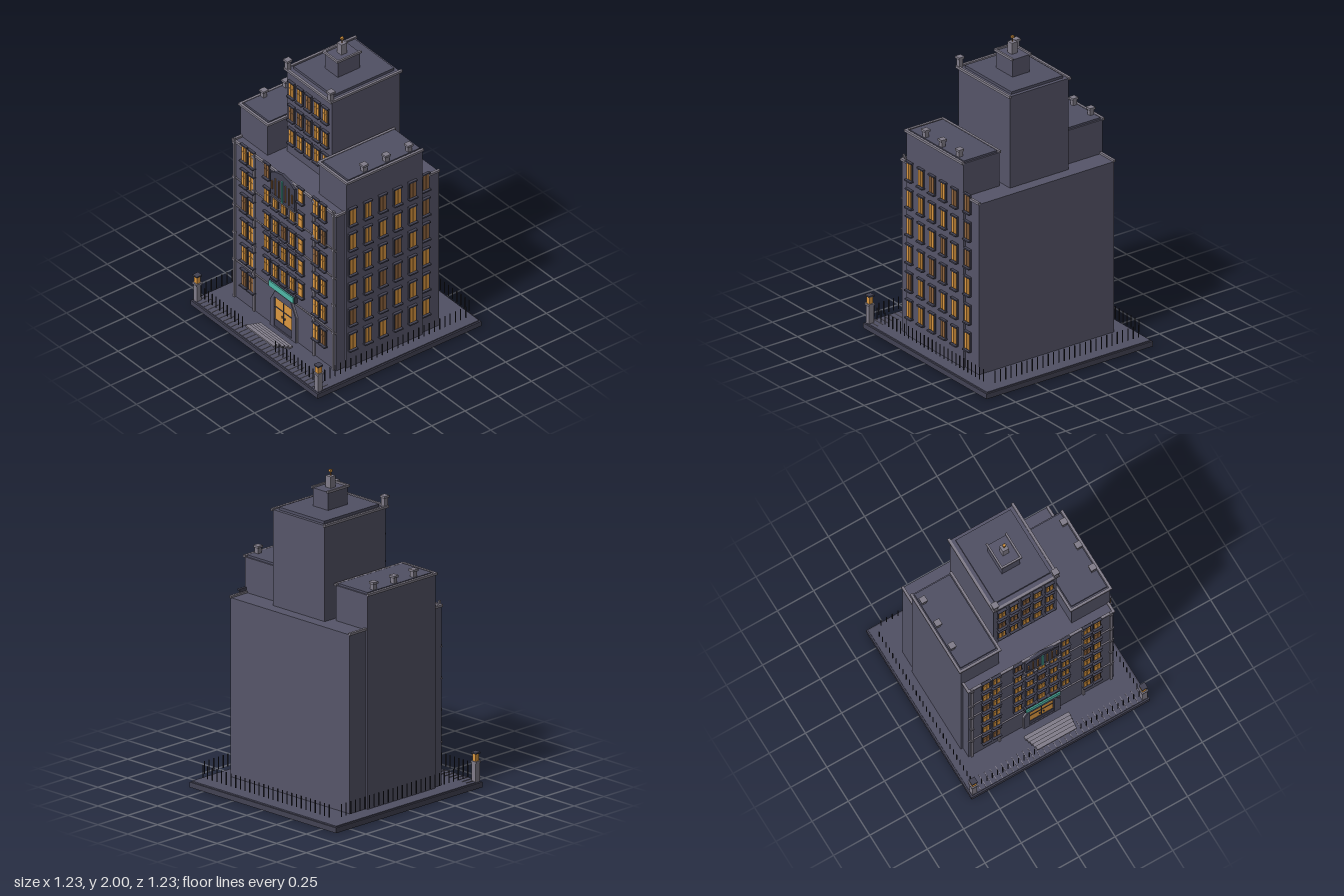
import * as THREE from 'three';
import { mergeGeometries } from 'three/addons/utils/BufferGeometryUtils.js';

const mat = (name, color) => Object.assign(new THREE.MeshStandardMaterial({ color }), { name });

// box from centre x, bottom y, centre z and size
function box(x, y, z, w, h, d) {
  return new THREE.BoxGeometry(w, h, d).translate(x, y + h / 2, z);
}

// box from its limits
function span(x0, x1, y0, y1, z0, z1) {
  return new THREE.BoxGeometry(x1 - x0, y1 - y0, z1 - z0)
    .translate((x0 + x1) / 2, (y0 + y1) / 2, (z0 + z1) / 2);
}

// flat outline in x and y, pushed out along z
function plate(points, z, depth, hole) {
  const shape = new THREE.Shape(points.map(p => new THREE.Vector2(...p)));
  if (hole) shape.holes.push(new THREE.Path(hole.map(p => new THREE.Vector2(...p))));
  return new THREE.ExtrudeGeometry(shape, { depth, bevelEnabled: false }).translate(0, 0, z);
}

export function createModel() {
  const model = new THREE.Group();
  const wall = mat('slate wall', 0x565569);
  const roof = mat('roof slate', 0x505064);
  const dark = mat('dark frame', 0x424253);
  const trim = mat('stone trim', 0x817d8a);
  const amber = mat('lit glass', 0xdc9840);
  const dim = mat('dim glass', 0x946840);
  const teal = mat('teal sign', 0x50b8a8);
  const iron = mat('iron', 0x2a2a35);

  const add = (name, material, geos) => {
    const mesh = new THREE.Mesh(mergeGeometries(geos.map(g => g.index ? g.toNonIndexed() : g)), material);
    mesh.name = name;
    model.add(mesh);
  };

  // ground slab
  add('baseSlab', dark, [span(-0.615, 0.615, 0, 0.033, -0.615, 0.615)]);
  add('pavement', roof, [span(-0.605, 0.605, 0.033, 0.04, -0.605, 0.605)]);

  // building volumes
  add('mainBlock', wall, [span(-0.5, 0.5, 0.04, 1.16, -0.385, 0.385)]);
  add('sideWings', wall, [-1, 1].map(s => box(s * 0.3825, 0.04, 0.035, 0.265, 1.34, 0.57)));
  add('tower', wall, [span(-0.217, 0.217, 1.1, 1.76, -0.312, 0.2)]);
  add('penthouse', wall, [span(-0.063, 0.063, 1.76, 1.89, -0.13, 0.035)]);

  // raised roof panels
  add('roofPanels', roof, [
    span(-0.19, 0.19, 1.76, 1.777, -0.29, 0.172),
    ...[-1, 1].map(s => box(s * 0.3825, 1.38, 0.03, 0.245, 0.013, 0.54)),
  ]);

  // cornices run along the front and both sides, open at the back
  const cornice = (x0, x1, y, zBack, zFront, t = 0.016) => [
    span(x0 - 0.012, x0 - 0.012 + t, y, y + 0.015, zBack - 0.008, zFront + 0.012),
    span(x1 + 0.012 - t, x1 + 0.012, y, y + 0.015, zBack - 0.008, zFront + 0.012),
    span(x0 - 0.012, x1 + 0.012, y, y + 0.015, zFront + 0.012 - t, zFront + 0.012),
  ];
  add('cornices', trim, [
    ...cornice(-0.496, 0.496, 1.157, -0.38, 0.38),
    ...cornice(-0.515, -0.25, 1.376, -0.245, 0.315),
    ...cornice(0.25, 0.515, 1.376, -0.245, 0.315),
    ...cornice(-0.217, 0.217, 1.753, -0.315, 0.205),
    ...cornice(-0.06, 0.06, 1.886, -0.13, 0.033, 0.012),
  ]);

  // roof chimneys with caps
  const chimneys = [];
  const chimney = (x, y, z, h) => chimneys.push(
    box(x, y, z, 0.028, h - 0.014, 0.028), box(x, y + h - 0.014, z, 0.04, 0.014, 0.04));
  for (const s of [-1, 1]) {
    chimney(s * 0.208, 1.76, 0.2, 0.07);
    for (const z of [-0.17, 0, 0.166]) chimney(s * 0.485, 1.38, z, 0.062);
  }
  add('chimneys', trim, chimneys);

  // spire
  add('spireBlock', trim, [box(0, 1.89, -0.045, 0.042, 0.072, 0.042)]);
  add('spirePole', dim, [new THREE.CylinderGeometry(0.004, 0.004, 0.03, 8).translate(0, 1.975, -0.045)]);
  add('spireTip', amber, [box(0, 1.986, -0.045, 0.016, 0.014, 0.016)]);

  // windows, built facing +z and then turned and moved into place
  const frames = [], litPanes = [], dimPanes = [];
  function addWindow(place, h, transom, isDim) {
    const w = 0.044;
    const put = (list, g) => list.push(place(g));
    put(frames, box(0, -h / 2 - 0.006, 0.004, w + 0.012, h + 0.012, 0.008));
    put(frames, box(0, -h / 2 - 0.014, 0.0125, w + 0.018, 0.009, 0.025));
    put(frames, box(0, h / 2 + 0.004, 0.009, w + 0.018, 0.009, 0.018));
    const rows = transom ? [[-h / 2, h * 0.6], [h * 0.14, h * 0.36]] : [[-h / 2, h]];
    for (const s of [-1, 1])
      for (const [y, ph] of rows)
        put(isDim ? dimPanes : litPanes, box(s * w * 0.26, y, 0.0105, w * 0.42, ph, 0.005));
  }
  const front = (x, y, z) => g => g.translate(x, y, z);
  const side = (x, y, z) => g => g.rotateY(Math.PI / 2).translate(x, y, z);
  const floors = [1.13, 0.95, 0.77, 0.588, 0.405, 0.225];

  // tower and centre bays: 1 lit, 0 dim
  const bays = [-0.164, -0.082, 0, 0.082, 0.164];
  const centreRows = [
    [1.635, 0.2, '11011'], [1.463, 0.2, '00011'], [1.297, 0.2, '11111'],
    [1.13, 0.385, '0---1'], [0.95, 0.385, '11111'], [0.77, 0.385, '11011'],
    [0.615, 0.385, '11111'], [0.447, 0.385, '11111'],
  ];
  for (const [y, z, code] of centreRows)
    bays.forEach((x, i) => {
      if (code[i] !== '-') addWindow(front(x, y, z), 0.09, true, code[i] === '0');
    });

  // outer bays of the front
  const outerCodes = ['1111', '1110', '0101', '1111', '1111', '0010'];
  floors.forEach((y, r) => [-0.383, -0.312, 0.312, 0.383].forEach((x, i) =>
    addWindow(front(x, y, 0.385), 0.1, true, outerCodes[r][i] === '0')));

  // left side; the last column sits on the recessed main block
  const sideCodes = ['110100', '111110', '111010', '110011', '010111', '111011'];
  floors.forEach((y, r) => [0.28, 0.165, 0.053, -0.058, -0.17, -0.28].forEach((z, i) =>
    addWindow(side(i === 5 ? 0.5 : 0.515, y, z), 0.102, false, sideCodes[r][i] === '0')));
  add('windowFrames', dark, frames);
  add('litWindowPanes', amber, litPanes);
  add('dimWindowPanes', dim, dimPanes);

  // front pilasters and bands
  const pilasters = [];
  for (const x of [-0.48, -0.29, 0.29, 0.49 - 0.01]) {
    pilasters.push(box(x, 0.04, 0.39, 0.014, 1.15, 0.014));
    for (const y of [0.3, 0.5, 0.7, 0.9, 1.15]) pilasters.push(box(x, y, 0.391, 0.022, 0.018, 0.018));
  }
  add('pilasters', trim, pilasters);
  add('facadeBands', trim, [0.306, 0.703, 0.903].map(y => box(0, y, 0.388, 1.004, 0.007, 0.01)));

  // upper banner panel with pediment
  add('bannerPanel', dark, [
    span(-0.115, 0.115, 0.985, 1.15, 0.385, 0.402),
    plate([[-0.115, 1.15], [0.115, 1.15], [0.075, 1.175], [0, 1.193], [-0.075, 1.175]], 0.385, 0.02),
  ]);
  add('bannerSill', trim, [box(0, 0.98, 0.395, 0.245, 0.007, 0.024)]);
  add('bannerStripes', dim, [-0.097, -0.065, -0.032, 0.032, 0.065, 0.097].map(
    (x, i) => box(x, i % 5 ? 1.01 : 1.04, 0.405, 0.008, i % 5 ? 0.12 : 0.06, 0.008)));
  add('bannerCentre', teal, [box(0, 0.99, 0.406, 0.012, 0.155, 0.009)]);

  // entrance portal, door and sign
  add('portal', wall, [plate(
    [[-0.125, 0.04], [-0.125, 0.22], [-0.075, 0.31], [0.075, 0.31], [0.125, 0.22], [0.125, 0.04]], 0.385, 0.016,
    [[-0.085, 0.05], [0.085, 0.05], [0.085, 0.262], [-0.085, 0.262]])]);
  add('portalEdge', trim, [plate(
    [[-0.129, 0.04], [-0.129, 0.221], [-0.078, 0.314], [0.078, 0.314], [0.129, 0.221], [0.129, 0.04]], 0.384, 0.012,
    [[-0.125, 0.045], [0.125, 0.045], [0.125, 0.22], [0.075, 0.31], [-0.075, 0.31], [-0.125, 0.22]])]);
  add('door', amber, [span(-0.08, 0.08, 0.1, 0.26, 0.385, 0.392)]);
  add('doorBars', dark, [
    box(0, 0.1, 0.392, 0.005, 0.16, 0.006), box(0, 0.187, 0.392, 0.16, 0.006, 0.006),
    ...[-1, 1].map(s => box(s * 0.014, 0.14, 0.394, 0.006, 0.014, 0.008)),
    span(-0.085, 0.085, 0.04, 0.1, 0.385, 0.395),
  ]);
  add('signBacking', dark, [span(-0.123, 0.123, 0.323, 0.373, 0.385, 0.407)]);
  add('signFace', teal, [span(-0.118, 0.118, 0.328, 0.368, 0.407, 0.415)]);

  // entrance steps, climbing away from the door
  add('steps', trim, [0, 1, 2, 3, 4].map(i =>
    box(0, 0.044 + i * 0.011, 0.459 + i * 0.0255, 0.31 - i * 0.01, 0.011, 0.026)));

  // corner lamp posts
  const corners = [-0.587, 0.587];
  add('lampPosts', trim, corners.flatMap(x => [
    box(x, 0.04, 0.587, 0.034, 0.12, 0.034), box(x, 0.155, 0.587, 0.044, 0.012, 0.044)]));
  add('lanterns', amber, corners.map(x => box(x, 0.167, 0.587, 0.028, 0.046, 0.028)));
  add('lanternCaps', dark, corners.map(x => box(x, 0.213, 0.587, 0.04, 0.009, 0.04)));

  // fence pickets on all four sides, with a gap at the steps
  const pickets = [];
  const picket = (x, z) => pickets.push(box(x, 0.073, z, 0.005, 0.08, 0.005));
  for (let i = 0; i < 28; i++) {
    const z = -0.53 + i * 0.0393;
    picket(-0.575, z);
    picket(0.575, z);
    picket(-0.53 + i * 0.0393, -0.587);
  }
  for (let i = 0; i < 12; i++) for (const s of [-1, 1]) picket(s * (0.16 + i * 0.0365), 0.58);
  add('fencePickets', iron, pickets);

  // pale paving strips along the front edge
  add('pavingStrips', trim, Array.from({ length: 32 }, (_, i) =>
    box(-0.58 + i * 0.0374, 0.039, 0.56, 0.004, 0.004, 0.088)));

  return model;
}
